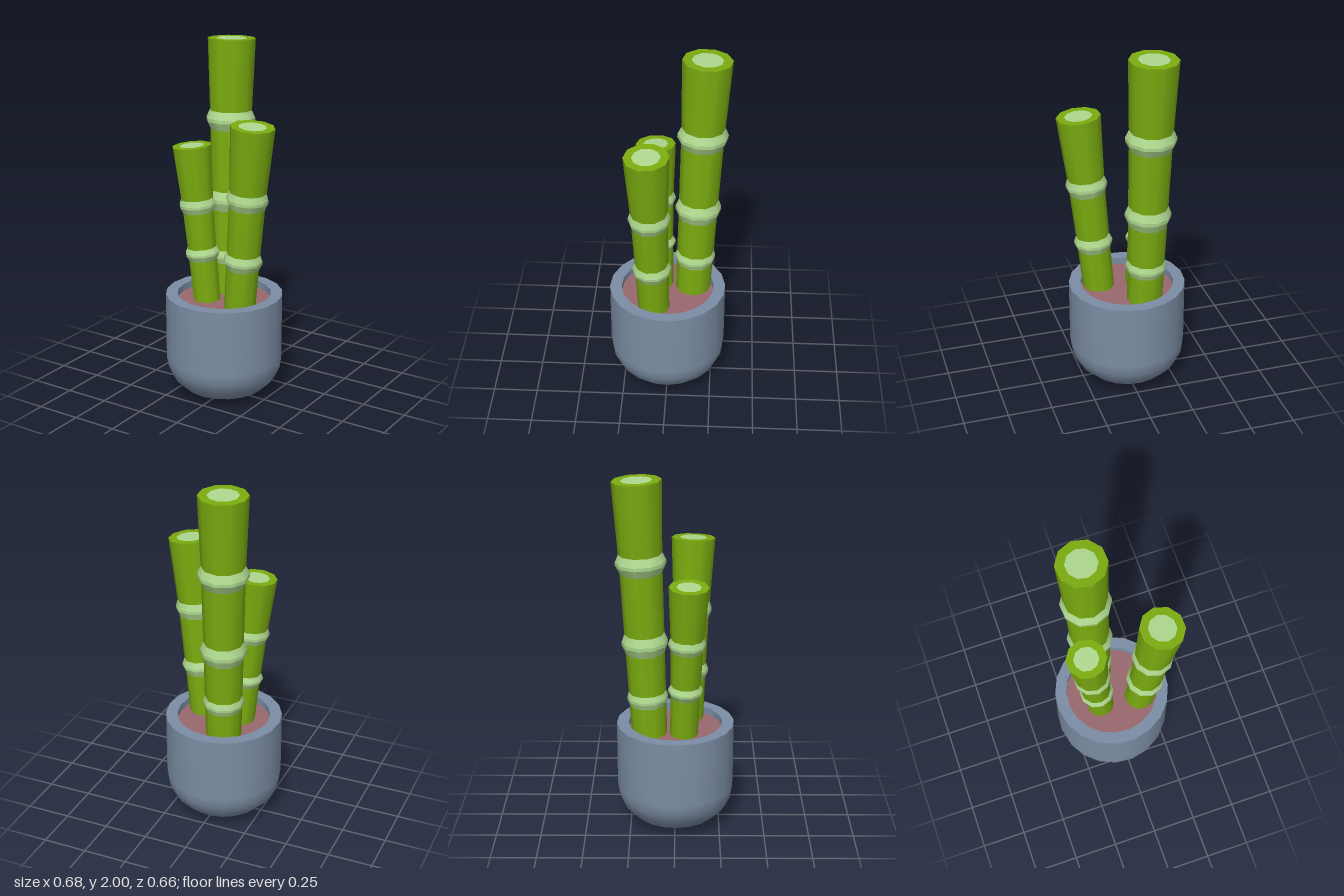
import * as THREE from 'three';

const mat = (name, color) => Object.assign(new THREE.MeshStandardMaterial({ color }), { name });
const stemGreen = mat('stem green', 0x7bac10);
const nodeGreen = mat('pale green', 0xaed88e);
const potGrey = mat('pot slate', 0x7c8da4);
const soilRed = mat('soil red brown', 0x98686c);

// Turned surface; points run up the outside, then inwards
function turned(name, points, sides, phi, material) {
  const profile = points.map(([r, h]) => new THREE.Vector2(r, h));
  const mesh = new THREE.Mesh(new THREE.LatheGeometry(profile, sides, phi, Math.PI * 2), material);
  mesh.name = name;
  return mesh;
}

// One leaning cane: base and top centres, radii by height, nodes as [low, high, radius]
function cane(name, base, top, radii, nodes, pithRadius, phi) {
  const group = new THREE.Group();
  group.name = name;
  const axis = new THREE.Vector3(...top).sub(new THREE.Vector3(...base));
  const length = axis.length();
  const stretch = length / axis.y;
  group.position.set(...base);
  group.quaternion.setFromUnitVectors(new THREE.Vector3(0, 1, 0), axis.normalize());

  const local = (y) => (y - base[1]) * stretch;
  const radiusAt = (y) => {
    let i = 1;
    while (i < radii.length - 1 && y > radii[i][0]) i++;
    const [y0, r0] = radii[i - 1], [y1, r1] = radii[i];
    return r0 + (r1 - r0) * (y - y0) / (y1 - y0);
  };
  const add = (part, points, material) => group.add(turned(part, points, 10, phi, material));

  // Stem sections between the nodes
  let start = base[1];
  for (const [low, high, r] of nodes) {
    add('stemSection', [[radiusAt(start), local(start)], [radiusAt(low), local(low)]], stemGreen);
    // Node ring: flared underside, narrow edge, sloped shoulder
    const span = high - low;
    const ring = [
      [radiusAt(low), local(low)],
      [r, local(low + span * 0.42)],
      [r, local(low + span * 0.6)],
      [radiusAt(high), local(high)],
    ];
    for (let i = 0; i < 3; i++) add('nodeRing', [ring[i], ring[i + 1]], nodeGreen);
    start = high;
  }
  const topRadius = radiusAt(top[1]);
  add('stemSection', [[radiusAt(start), local(start)], [topRadius, length]], stemGreen);

  // Cut end with pale pith
  add('cutRim', [[topRadius, length], [pithRadius, length]], stemGreen);
  add('pith', [[pithRadius, length], [0, length]], nodeGreen);
  return group;
}

export function createModel() {
  const model = new THREE.Group();
  model.name = 'pottedBamboo';

  // Round-bottomed pot with a flat rim
  const pot = new THREE.Group();
  pot.name = 'pot';
  pot.position.set(-0.015, 0, 0.003);
  const phi = 0.065;
  pot.add(
    turned('potBody', [[0, 0.003], [0.08, 0.005], [0.15, 0.013], [0.23, 0.047], [0.29, 0.105],
      [0.32, 0.17], [0.328, 0.23], [0.328, 0.6]], 20, phi, potGrey),
    turned('potRim', [[0.328, 0.6], [0.262, 0.6]], 20, phi, potGrey),
    turned('potInnerWall', [[0.262, 0.6], [0.262, 0.555]], 20, phi, potGrey),
    turned('soil', [[0.262, 0.56], [0, 0.56]], 20, phi, soilRed),
  );
  model.add(pot);

  // Three canes
  model.add(
    cane('tallCane', [-0.075, 0.54, -0.14], [-0.097, 1.994, -0.2],
      [[0.54, 0.098], [0.77, 0.102], [1.1, 0.108], [1.55, 0.116], [1.994, 0.133]],
      [[0.735, 0.81, 0.113], [1.04, 1.15, 0.126], [1.495, 1.6, 0.137]], 0.084, 0.075),
    cane('leftCane', [0.13, 0.54, 0.073], [0.226, 1.6, 0.102],
      [[0.54, 0.087], [0.84, 0.092], [1.2, 0.1], [1.6, 0.121]],
      [[0.8, 0.885, 0.107], [1.15, 1.24, 0.114]], 0.076, 0.045),
    cane('rightCane', [-0.098, 0.54, 0.05], [-0.177, 1.44, 0.076],
      [[0.54, 0.077], [0.83, 0.081], [1.11, 0.089], [1.44, 0.109]],
      [[0.795, 0.865, 0.096], [1.07, 1.145, 0.102]], 0.068, 0.035),
  );
  return model;
}
